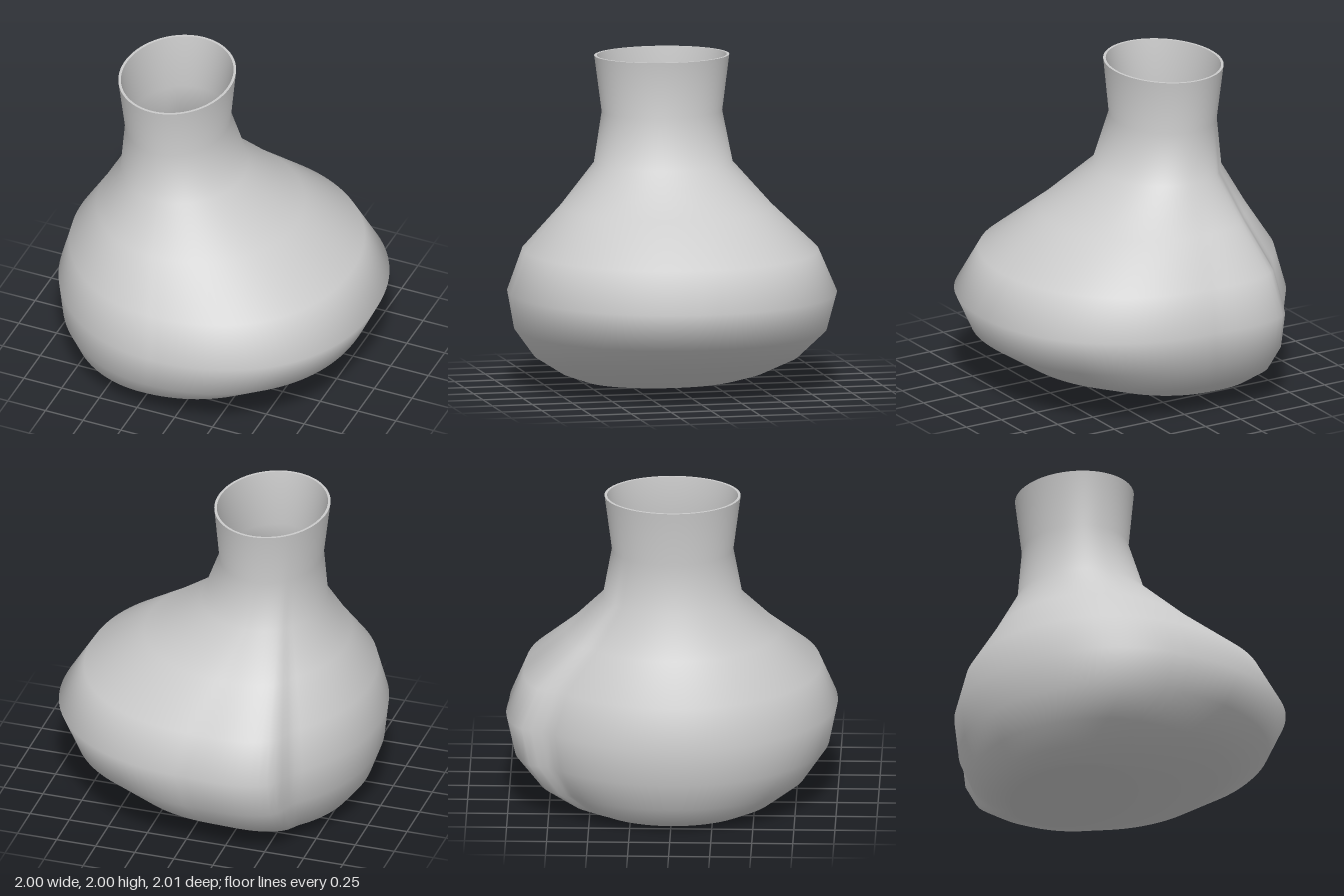
import * as THREE from 'three';

const SEGMENTS = 120;
const WALL = 0.016;

// Body sections from base to lip: height, left x, right x, x of widest point, half depth, fold strength
const SECTIONS = [
  [0.0, -0.68, 0.06, -0.31, 0.47, 0.3],
  [0.01, -0.73, 0.11, -0.31, 0.5, 0.35],
  [0.06, -0.82, 0.30, -0.27, 0.63, 0.5],
  [0.175, -0.91, 0.61, -0.2, 0.81, 0.75],
  [0.355, -0.975, 0.89, -0.11, 0.95, 0.95],
  [0.59, -1.0, 1.0, -0.07, 1.0, 1.0],
  [0.84, -0.935, 0.845, -0.11, 0.9, 0.9],
  [1.09, -0.78, 0.48, -0.2, 0.645, 0.65],
  [1.345, -0.64, 0.125, -0.27, 0.425, 0.2],
  [1.655, -0.615, 0.01, -0.303, 0.37, 0],
  [2.0, -0.655, 0.04, -0.307, 0.415, 0],
].map(([y, left, right, cx, depth, fold]) => ({ y, left, right, cx, depth, fold }));

// Soft fold on the back: a steep step on the left side, fading out to the right
function foldAmount(degrees) {
  const rise = THREE.MathUtils.smoothstep(degrees, 88, 121);
  const fall = 1 - THREE.MathUtils.smoothstep(degrees, 121, 132);
  return 0.095 * rise * fall;
}

// Egg-shaped cross-section, a little fuller on its long right side
function ringPoints(s) {
  const points = [];
  const fullness = 1 - 0.07 * THREE.MathUtils.smoothstep(s.right, 0.1, 0.9);
  for (let j = 0; j < SEGMENTS; j++) {
    const t = (j / SEGMENTS) * Math.PI * 2;
    const c = Math.cos(t), sn = Math.sin(t);
    const onRight = c > 0;
    const power = onRight ? fullness : 1;
    const bulge = sn < 0 ? 1 + s.fold * foldAmount(360 - (t * 180) / Math.PI) : 1;
    const rx = onRight ? s.right - s.cx : s.cx - s.left;
    points.push([
      s.cx + Math.sign(c) * Math.abs(c) ** power * rx * bulge,
      s.y,
      Math.sign(sn) * Math.abs(sn) ** power * s.depth * bulge,
    ]);
  }
  return points;
}

// Joins consecutive sections into a closed-round skin
function loft(name, sections) {
  const index = [];
  for (let i = 0; i < sections.length - 1; i++) {
    for (let j = 0; j < SEGMENTS; j++) {
      const k = (j + 1) % SEGMENTS;
      const a = i * SEGMENTS + j, b = i * SEGMENTS + k;
      const c = a + SEGMENTS, d = b + SEGMENTS;
      index.push(a, c, b, b, c, d);
    }
  }
  const geometry = new THREE.BufferGeometry();
  geometry.setAttribute('position',
    new THREE.Float32BufferAttribute(sections.flatMap(ringPoints).flat(), 3));
  geometry.setIndex(index);
  geometry.computeVertexNormals();
  const mesh = new THREE.Mesh(geometry, new THREE.MeshStandardMaterial({ color: 0xcccccc }));
  mesh.name = name;
  return mesh;
}

const inset = (s) => ({
  ...s, left: s.left + WALL, right: s.right - WALL, depth: s.depth - WALL,
  y: s.y < 0.05 ? s.y + WALL : s.y,
});
const centre = (s) => ({ ...s, left: s.cx, right: s.cx, depth: 0 });

export function createModel() {
  const group = new THREE.Group();
  group.name = 'vase';

  const inner = SECTIONS.map(inset).reverse();
  const lip = SECTIONS[SECTIONS.length - 1];
  const floor = inner[inner.length - 1];

  group.add(loft('outerWall', SECTIONS));
  group.add(loft('base', [centre(SECTIONS[0]), SECTIONS[0]]));
  group.add(loft('rim', [lip, inner[0]]));
  group.add(loft('innerWall', inner));
  group.add(loft('innerFloor', [floor, centre(floor)]));
  return group;
}
